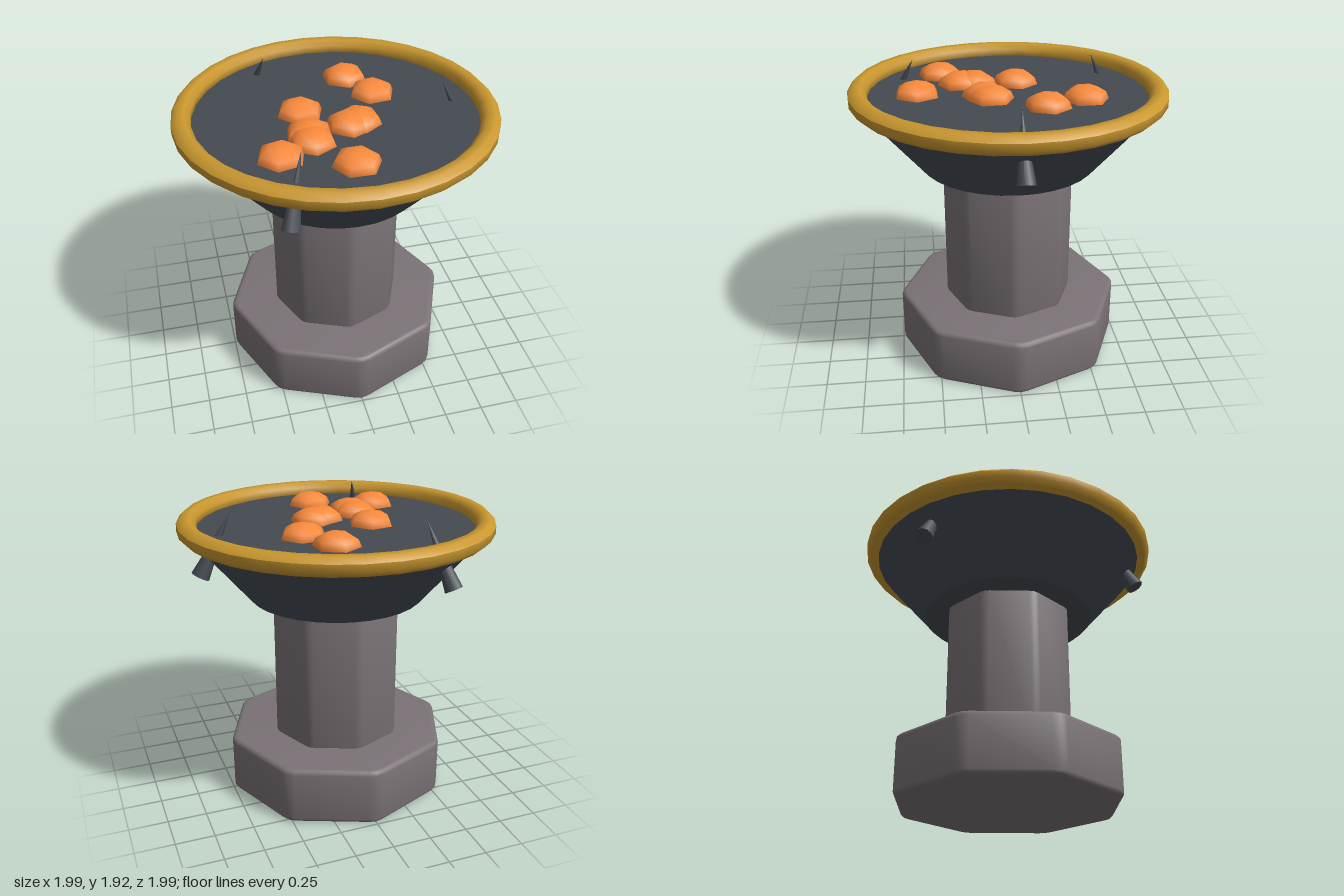
import * as THREE from 'three';
import { toCreasedNormals } from 'three/addons/utils/BufferGeometryUtils.js';

const mat = (color) => new THREE.MeshStandardMaterial({ color });

function addMesh(parent, name, geometry, material) {
  const mesh = new THREE.Mesh(geometry, material);
  mesh.name = name;
  parent.add(mesh);
  return mesh;
}

// Upright octagonal block with softened corners and bevelled ends
function octagonBlock(radius, corner, bevel, bottom, top) {
  const points = [];
  for (let i = 0; i < 8; i++) {
    const a = (i * Math.PI) / 4;
    points.push(new THREE.Vector2(Math.cos(a), Math.sin(a)).multiplyScalar(radius));
  }
  const shape = new THREE.Shape();
  points.forEach((p, i) => {
    const before = points[(i + 7) % 8].clone().sub(p).setLength(corner).add(p);
    const after = points[(i + 1) % 8].clone().sub(p).setLength(corner).add(p);
    if (i === 0) shape.moveTo(before.x, before.y);
    else shape.lineTo(before.x, before.y);
    shape.quadraticCurveTo(p.x, p.y, after.x, after.y);
  });
  shape.closePath();
  const geometry = new THREE.ExtrudeGeometry(shape, {
    depth: top - bottom - 2 * bevel, curveSegments: 2,
    bevelThickness: bevel, bevelSize: bevel, bevelOffset: -bevel, bevelSegments: 3,
  });
  geometry.rotateX(-Math.PI / 2).translate(0, bottom + bevel, 0);
  return toCreasedNormals(geometry, 0.6);
}

export function createModel() {
  const model = new THREE.Group();
  model.name = 'brazier';
  const stone = mat(0x7a7276);
  const iron = mat(0x454a52);
  const gold = mat(0xc9972f);
  const ember = mat(0xf98a3c);

  // Stone pedestal
  addMesh(model, 'base', octagonBlock(0.75, 0.05, 0.03, 0, 0.38), stone);
  addMesh(model, 'column', octagonBlock(0.432, 0.035, 0.015, 0.37, 1.36), stone);

  // Flared bowl, filled nearly to the brim
  const bowlBottom = 1.33, bowlTop = 1.78;
  const bowl = addMesh(model, 'bowl',
    new THREE.CylinderGeometry(0.945, 0.565, bowlTop - bowlBottom, 32), iron);
  bowl.position.y = (bowlBottom + bowlTop) / 2;

  // Rim ring with an eight-sided section
  const section = [];
  for (let i = 0; i <= 8; i++) {
    const a = ((i + 0.5) * Math.PI) / 4;
    section.push(new THREE.Vector2(0.939 + 0.0625 * Math.cos(a), 1.802 + 0.0625 * Math.sin(a)));
  }
  addMesh(model, 'rim', new THREE.LatheGeometry(section, 32), gold).material.side = THREE.DoubleSide;

  // Three spikes driven through the bowl wall, leaning inwards
  const foot = new THREE.Vector3(0.885, 1.535, 0);
  const tip = new THREE.Vector3(0.68, 1.92, 0);
  const lean = tip.clone().sub(foot);
  for (let i = 0; i < 3; i++) {
    const pivot = new THREE.Group();
    pivot.name = `spikeMount${i + 1}`;
    pivot.rotation.y = (i * Math.PI * 2) / 3;
    const spike = addMesh(pivot, 'spike', new THREE.ConeGeometry(0.058, lean.length(), 10), iron);
    spike.position.copy(foot).lerp(tip, 0.5);
    spike.quaternion.setFromUnitVectors(new THREE.Vector3(0, 1, 0), lean.clone().normalize());
    model.add(pivot);
  }

  // Glowing coals: squat six-sided lumps, half sunk [x, z, turn]
  const coals = new THREE.Group();
  coals.name = 'coals';
  const lump = new THREE.SphereGeometry(0.147, 6, 6).scale(1, 0.6, 1);
  [
    [0.17, -0.46, 0.55], [0.29, -0.21, 0.15], [-0.21, -0.07, 0.2],
    [0.05, 0.15, 0.45], [0.11, 0.12, 0.6], [-0.21, 0.2, 0.35],
    [-0.21, 0.29, 0.5], [-0.42, 0.41, 0.25], [-0.02, 0.57, 0],
  ].forEach(([x, z, turn], i) => {
    const coal = addMesh(coals, `coal${i + 1}`, lump, ember);
    coal.position.set(x, bowlTop, z);
    coal.rotation.y = turn;
  });
  model.add(coals);

  return model;
}
